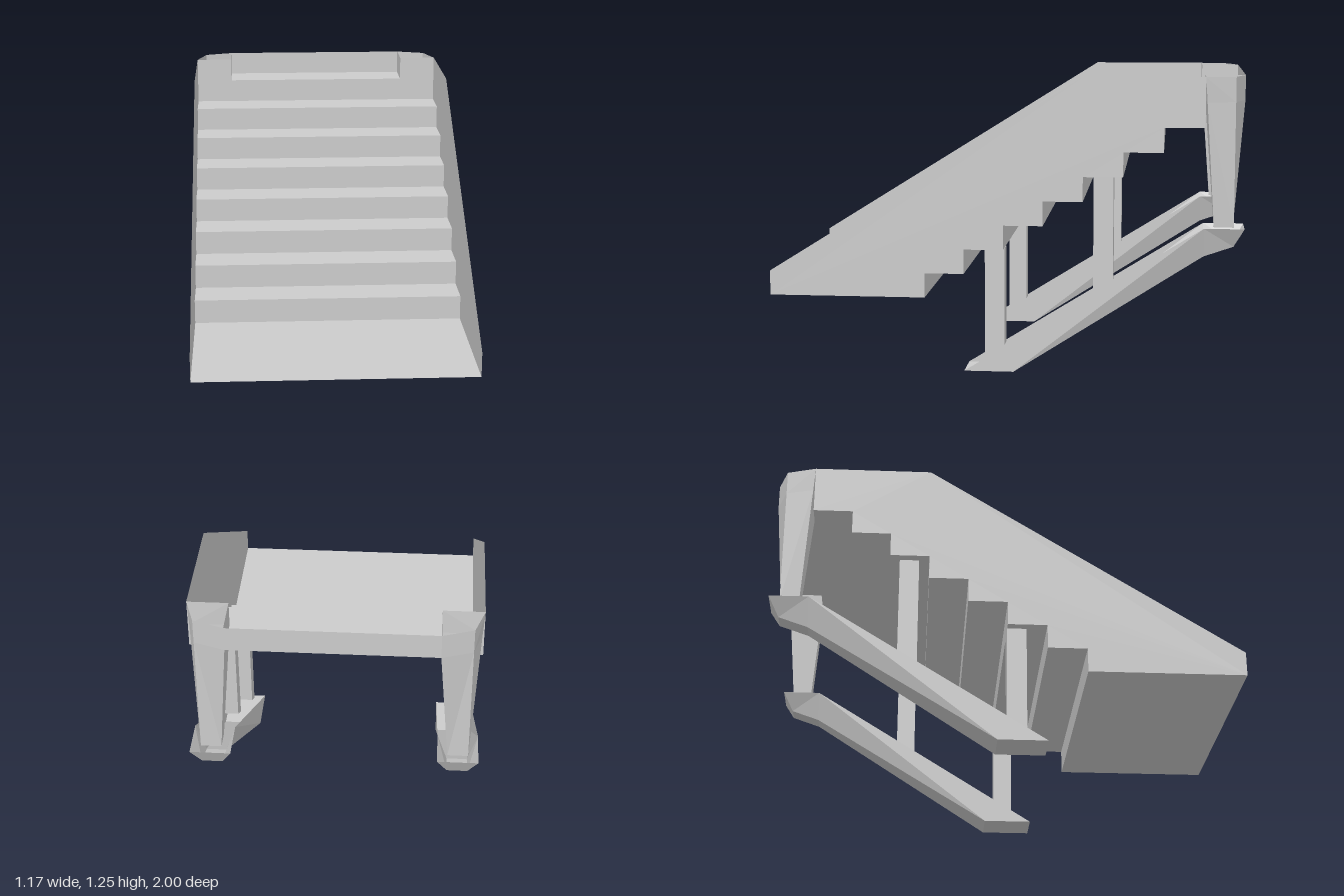
import * as THREE from 'three';

const material = new THREE.MeshStandardMaterial({ color: 0xcccccc, flatShading: true, side: THREE.DoubleSide });

const W = 0.583, IN = 0.417;            // outer and inner edge of the legs
const STEPS = 8, RUN = 0.1667, RISE = 0.1042, BASE = 0.3125;
const FRONT = 0.335, BACK = -0.833, TOP = 1.25, DECK = BASE + STEPS * RISE;

function addMesh(group, name, geometry) {
  const mesh = new THREE.Mesh(geometry, material);
  mesh.name = name;
  group.add(mesh);
  return mesh;
}

// Ruled surface between two equally long lists of [x, y, z] points
function strip(a, b) {
  const pos = [];
  const tri = (...pts) => {
    const [p, q, r] = pts.map((v) => new THREE.Vector3(...v));
    if (q.clone().sub(p).cross(r.clone().sub(p)).length() > 1e-7) pos.push(...pts.flat());
  };
  for (let i = 0; i < a.length - 1; i++) {
    tri(a[i], a[i + 1], b[i + 1]);
    tri(a[i], b[i + 1], b[i]);
  }
  const geometry = new THREE.BufferGeometry();
  geometry.setAttribute('position', new THREE.Float32BufferAttribute(pos, 3));
  geometry.computeVertexNormals();
  return geometry;
}

// Shape drawn in the [z, y] plane
const sideShape = (pts) => new THREE.Shape(pts.map(([z, y]) => new THREE.Vector2(z, y)));

// Stair line in [z, y], from the front edge up to the last tread below the deck
function stairLine() {
  const pts = [[1, BASE], [FRONT, BASE]];
  for (let i = 1; i < STEPS; i++) {
    const z = FRONT - (i - 1) * RUN;
    pts.push([z, BASE + i * RISE], [z - RUN, BASE + i * RISE]);
  }
  pts[pts.length - 1][0] = BACK;
  return pts;
}

// Open-topped sloping foot channel that narrows towards its upper end
function footChannel(group) {
  const mid = (W + IN) / 2;
  const at = (s, half, y, z) => [mid + s * half, y, z];
  const rim = (s) => [at(s, 0.083, 0, 0.167), at(s, 0.083, 0.625, BACK), at(s, 0.083, 0.625, BACK), at(s, 0.083, 0.625, -1)];
  const floor = (s) => [at(s, 0.083, 0, 0.167), at(s, 0.083, 0, -0.042), at(s, 0.042, 0.502, BACK), at(s, 0.042, 0.545, -0.957)];
  for (const s of [-1, 1]) addMesh(group, 'footWall', strip(rim(s), floor(s)));
  addMesh(group, 'footFloor', strip([...floor(-1), rim(-1)[3]], [...floor(1), rim(1)[3]]));
}

// Hollow tapered rear post with a slanted back
function rearPost(group) {
  const ring = (pts, y) => [...pts, pts[0]].map(([x, z]) => [x, y, z]);
  const top = ring([[IN, BACK], [W, BACK], [0.542, -0.957], [IN, -1]], TOP);
  const middle = ring([[IN, BACK], [0.576, -0.84], [0.542, -0.957], [IN, -1]], DECK);
  const bottom = ring([[0.458, -0.875], [0.542, -0.875], [0.542, -0.957], [0.458, -0.957]], 0.625);
  addMesh(group, 'rearPostTop', strip(top, middle));
  addMesh(group, 'rearPost', strip(middle, bottom));
}

// Upright strut from the foot channel rim to a tread
function strut(group, z0, z1, top) {
  const rimY = (z) => (0.167 - z) * 0.625;
  const geometry = new THREE.ExtrudeGeometry(
    sideShape([[z0, rimY(z0)], [z0, top], [z1, top], [z1, rimY(z1)]]),
    { depth: 0.084, bevelEnabled: false });
  geometry.rotateY(-Math.PI / 2).translate(0.542, 0, 0);
  addMesh(group, 'strut', geometry);
}

// Everything that is mirrored left and right
function sideParts(name) {
  const group = new THREE.Group();
  group.name = name;
  const outline = [[1, BASE + RISE], ...stairLine(), [BACK, TOP], [-0.333, TOP]];
  const panel = new THREE.ShapeGeometry(sideShape(outline));
  panel.rotateY(-Math.PI / 2).translate(W, 0, 0);
  addMesh(group, 'sidePanel', panel);
  addMesh(group, 'postFront', strip([[IN, DECK, BACK], [IN, TOP, BACK]], [[W, DECK, BACK], [W, TOP, BACK]]));
  addMesh(group, 'postFrontLower', strip([[IN, DECK - RISE, BACK], [IN, DECK, BACK]], [[W, DECK - RISE, BACK], [W, DECK, BACK]]));
  footChannel(group);
  rearPost(group);
  strut(group, 0.083, 0, BASE + 2 * RISE);
  strut(group, -0.375, -0.458, BASE + 5 * RISE);
  return group;
}

export function createModel() {
  const model = new THREE.Group();
  model.name = 'staircase';

  // Folded sheet of treads and risers
  const line = stairLine();
  const edge = (x, pts) => pts.map(([z, y]) => [x, y, z]);
  addMesh(model, 'steps', strip(edge(-W, line), edge(W, line)));

  // Top riser, deck and rear lip between the posts
  const deck = [[BACK, DECK - RISE], [BACK, DECK], [-1, DECK], [-1, TOP]];
  addMesh(model, 'deck', strip(edge(-IN, deck), edge(IN, deck)));

  const left = sideParts('leftSide');
  const right = sideParts('rightSide');
  right.scale.x = -1;
  model.add(left, right);
  return model;
}
